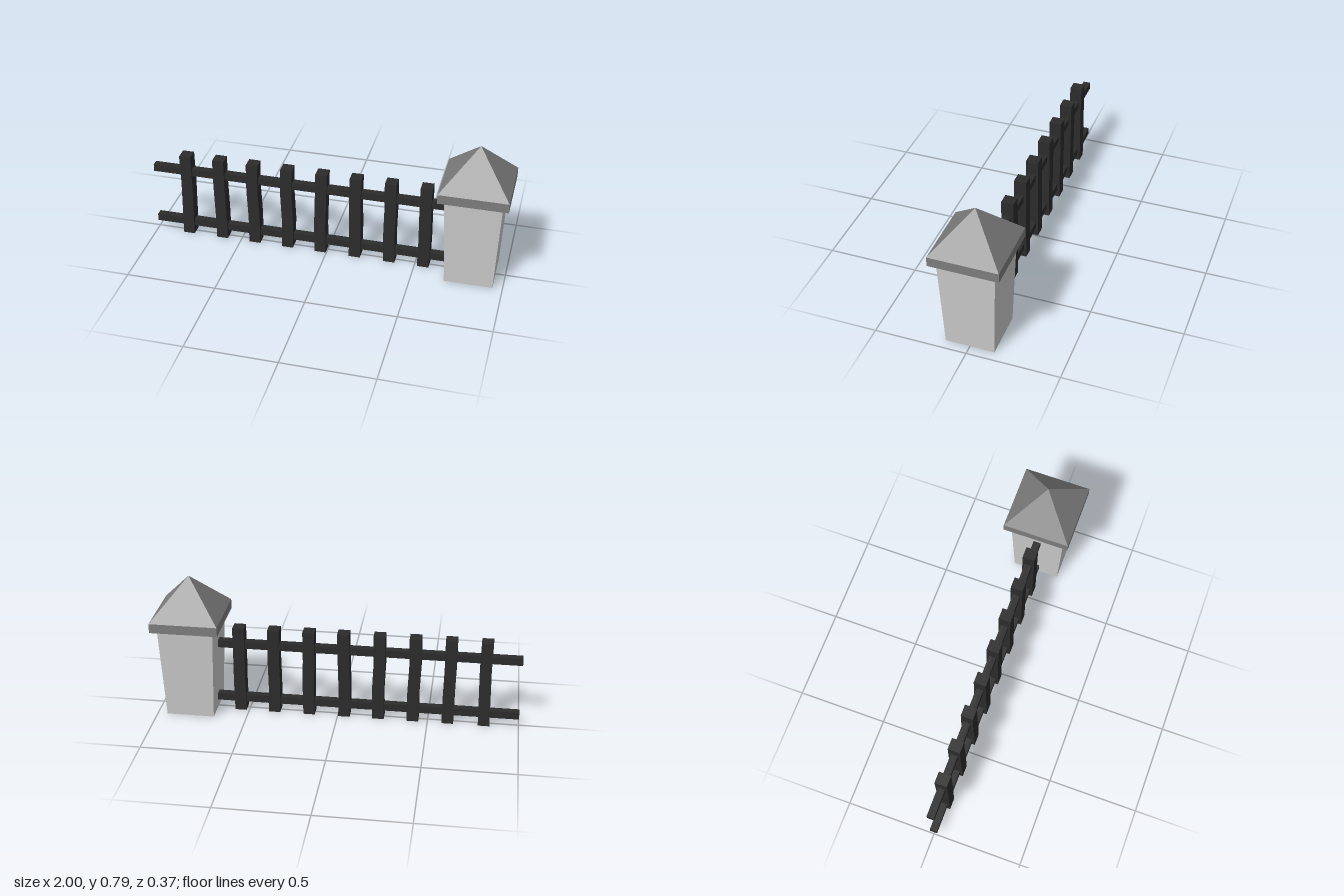
import * as THREE from 'three';

const stone = new THREE.MeshStandardMaterial({ color: 0xcacaca, flatShading: true, side: THREE.DoubleSide });
stone.name = 'light stone';
const capGrey = new THREE.MeshStandardMaterial({ color: 0x7d7d7d, flatShading: true });
capGrey.name = 'cap grey';
const iron = new THREE.MeshStandardMaterial({ color: 0x2c2c2c, flatShading: true });
iron.name = 'dark iron';

function addMesh(parent, name, geometry, material, x, y, z = 0) {
  const mesh = new THREE.Mesh(geometry, material);
  mesh.name = name;
  mesh.position.set(x, y, z);
  parent.add(mesh);
  return mesh;
}

// Four-sided tapered prism with sides square to the axes; sizes are half widths
function squareTaper(top, bottom, height) {
  const g = new THREE.CylinderGeometry(top * Math.SQRT2, bottom * Math.SQRT2, height, 4, 1, true);
  return g.rotateY(Math.PI / 4);
}

// Square picket whose rows are shifted sideways to give a slightly bent bar
function bentPicket(height, shifts) {
  const rows = shifts.length - 1;
  const g = new THREE.BoxGeometry(0.064, height, 0.068, 1, rows, 1);
  const p = g.attributes.position;
  for (let i = 0; i < p.count; i++) {
    const row = Math.round((p.getY(i) / height + 0.5) * rows);
    p.setX(i, p.getX(i) + shifts[row]);
  }
  g.computeVertexNormals();
  return g;
}

export function createModel() {
  const model = new THREE.Group();
  model.name = 'fence';

  // Pillar: hollow tapered shaft, slab and pyramid cap
  const pillar = new THREE.Group();
  pillar.name = 'pillar';
  pillar.position.x = 0.814;
  model.add(pillar);
  addMesh(pillar, 'pillarShaft', squareTaper(0.153, 0.132, 0.53), stone, 0, 0.265);
  addMesh(pillar, 'capSlab', new THREE.BoxGeometry(0.372, 0.053, 0.372), capGrey, 0, 0.5515);
  addMesh(pillar, 'capRoof', squareTaper(0, 0.186, 0.213), capGrey, 0, 0.6845);

  // Rails run from the free end into the pillar
  const railEnd = 0.71;
  for (const [name, y] of [['lowerRail', 0.068], ['upperRail', 0.4]]) {
    addMesh(model, name, new THREE.BoxGeometry(railEnd + 1, 0.042, 0.04), iron, (railEnd - 1) / 2, y);
  }

  // Pickets, each with its own slight bend from foot to top
  const bends = [
    [-0.003, 0, 0.003, 0],
    [0.003, 0.002, -0.002, -0.002],
    [0.002, 0.003, -0.004, -0.002],
    [0, 0.004, -0.003, 0],
    [-0.003, -0.005, 0, 0.004],
    [0, 0.002, -0.001, 0],
    [0.002, -0.001, 0.002, 0],
    [0, 0.002, 0, 0],
  ];
  bends.forEach((shifts, i) => {
    addMesh(model, `picket${i + 1}`, bentPicket(0.505, shifts), iron, -0.807 + i * 0.1935, 0.2525);
  });

  return model;
}
